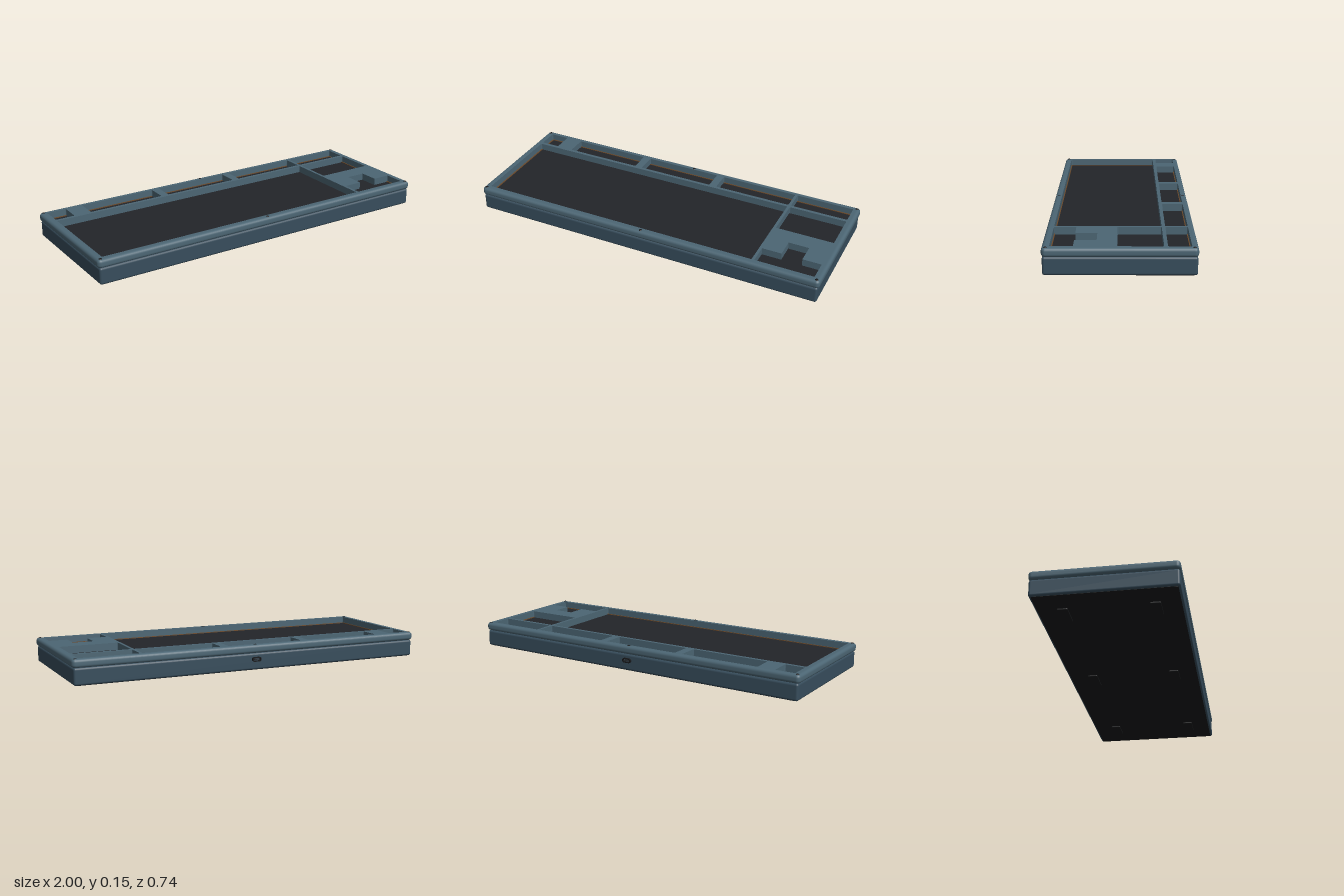
import * as THREE from 'three';
import { RoundedBoxGeometry } from 'three/addons/geometries/RoundedBoxGeometry.js';

const ZC = 0.005; // centre of the case in depth
const mat = (color, side = THREE.FrontSide) => new THREE.MeshStandardMaterial({ color, side });

// Rounded rectangle in plan; the shape's y is -z
function plan(x0, z0, x1, z1, r, Type = THREE.Shape) {
  const s = new Type(), a = -z1, b = -z0;
  s.absarc(x1 - r, b - r, r, 0, Math.PI / 2);
  s.absarc(x0 + r, b - r, r, Math.PI / 2, Math.PI);
  s.absarc(x0 + r, a + r, r, Math.PI, Math.PI * 1.5);
  s.absarc(x1 - r, a + r, r, Math.PI * 1.5, Math.PI * 2);
  s.closePath();
  return s;
}

// Flat slab from a plan shape, standing between two heights
function slab(shape, y0, y1) {
  const g = new THREE.ExtrudeGeometry(shape, { depth: y1 - y0, bevelEnabled: false, curveSegments: 4 });
  return g.rotateX(-Math.PI / 2).translate(0, y0, 0);
}

// Rounded outer band: a [inset, y] profile swept round a rounded rectangle
function band(hw, hd, r, profile) {
  const pos = [], idx = [], seg = 6, n = 4 * (seg + 1);
  for (const [inset, y] of profile) {
    for (let c = 0; c < 4; c++) {
      const sx = c === 0 || c === 3 ? 1 : -1, sz = c < 2 ? 1 : -1;
      for (let i = 0; i <= seg; i++) {
        const t = (c + i / seg) * Math.PI / 2, q = r - inset;
        pos.push(sx * (hw - r) + q * Math.cos(t), y, sz * (hd - r) + q * Math.sin(t) + ZC);
      }
    }
  }
  for (let j = 0; j < profile.length - 1; j++) {
    for (let i = 0; i < n; i++) {
      const a = j * n + i, b = j * n + (i + 1) % n;
      idx.push(a, a + n, b, b, a + n, b + n);
    }
  }
  const g = new THREE.BufferGeometry();
  g.setAttribute('position', new THREE.Float32BufferAttribute(pos, 3));
  g.setIndex(idx);
  g.computeVertexNormals();
  return g;
}

export function createModel() {
  const root = new THREE.Group();
  const frameMat = mat(0x4c6674), trayMat = mat(0x374d5c), black = mat(0x17181a);
  const add = (name, geo, material, x = 0, y = 0, z = 0, parent = root) => {
    const m = new THREE.Mesh(geo, material);
    m.name = name;
    m.position.set(x, y, z);
    parent.add(m);
    return m;
  };

  // Lower tray and its dark base sheet
  add('tray', new RoundedBoxGeometry(1.985, 0.09, 0.725, 4, 0.012), trayMat, 0, 0.056, ZC);
  add('basePlate', slab(plan(-0.982, ZC - 0.352, 0.982, ZC + 0.352, 0.01), 0.01, 0.014), black);

  // Top frame: openings for the key blocks
  const top = plan(-0.982, ZC - 0.35, 0.982, ZC + 0.35, 0.006);
  const openings = [
    [-0.963, -0.33, -0.856, -0.218],
    [-0.76, -0.33, -0.326, -0.218],
    [-0.282, -0.33, 0.15, -0.218],
    [0.193, -0.33, 0.627, -0.218],
    [0.642, -0.33, 0.963, -0.218],
    [-0.963, -0.2, 0.627, 0.334],
    [0.642, -0.2, 0.963, 0.018],
  ];
  for (const [x0, z0, x1, z1] of openings) top.holes.push(plan(x0, z0, x1, z1, 0.005, THREE.Path));
  // Stepped opening for the arrow cluster
  const arrows = [[0.642, 0.334], [0.963, 0.334], [0.963, 0.223], [0.861, 0.223],
    [0.861, 0.116], [0.749, 0.116], [0.749, 0.223], [0.642, 0.223]];
  top.holes.push(new THREE.Path(arrows.map(([x, z]) => new THREE.Vector2(x, -z))));
  add('topFrame', slab(top, 0.1, 0.145), frameMat);

  // Rounded edge around the frame
  const r = 0.016, profile = [[0.019, 0.1]];
  for (let i = 0; i <= 5; i++) {
    const t = i / 5 * Math.PI / 2;
    profile.push([r - r * Math.sin(t), 0.1 + r - r * Math.cos(t)]);
  }
  for (let i = 0; i <= 5; i++) {
    const t = i / 5 * Math.PI / 2;
    profile.push([r - r * Math.cos(t), 0.145 - r + r * Math.sin(t)]);
  }
  profile.push([0.019, 0.145]);
  add('frameEdge', band(1, 0.366, 0.02, profile), frameMat);

  // Switch plate under the openings, with a brass gasket around it
  add('switchPlate', new THREE.BoxGeometry(1.94, 0.012, 0.69), mat(0x232529), 0, 0.1, ZC);
  const gasket = plan(-0.975, -0.342, 0.975, 0.346, 0.005);
  gasket.holes.push(plan(-0.957, -0.325, 0.957, 0.329, 0.005, THREE.Path));
  add('gasket', slab(gasket, 0.1, 0.11), mat(0x6b4a2c));

  // Screws along the front and back rims
  for (const x of [-0.98, 0, 0.98]) {
    for (const z of [-0.341, 0.351]) {
      const head = new THREE.SphereGeometry(0.009, 16, 8, 0, Math.PI * 2, 0, Math.PI / 2);
      add('screw', head.scale(1, 0.45, 1), black, x, 0.1435, z);
    }
  }

  // Rubber feet
  for (const x of [-0.785, 0, 0.785]) {
    for (const z of [-0.222, 0.232]) {
      add('foot', new RoundedBoxGeometry(0.135, 0.016, 0.054, 3, 0.005), black, x, 0.008, z);
    }
  }

  // Cable socket at the back: oval ring with a tongue
  const socket = new THREE.Group();
  socket.name = 'cableSocket';
  socket.position.set(0, 0.068, -0.369);
  root.add(socket);
  const oval = plan(-0.026, -0.012, 0.026, 0.012, 0.0115);
  oval.holes.push(plan(-0.02, -0.007, 0.02, 0.007, 0.0065, THREE.Path));
  const ring = new THREE.ExtrudeGeometry(oval, { depth: 0.014, bevelEnabled: false, curveSegments: 6 });
  add('socketRing', ring, black, 0, 0, 0, socket);
  add('socketTongue', new THREE.BoxGeometry(0.028, 0.004, 0.01), mat(0x2a2c30), 0, 0, 0.008, socket);
  return root;
}
